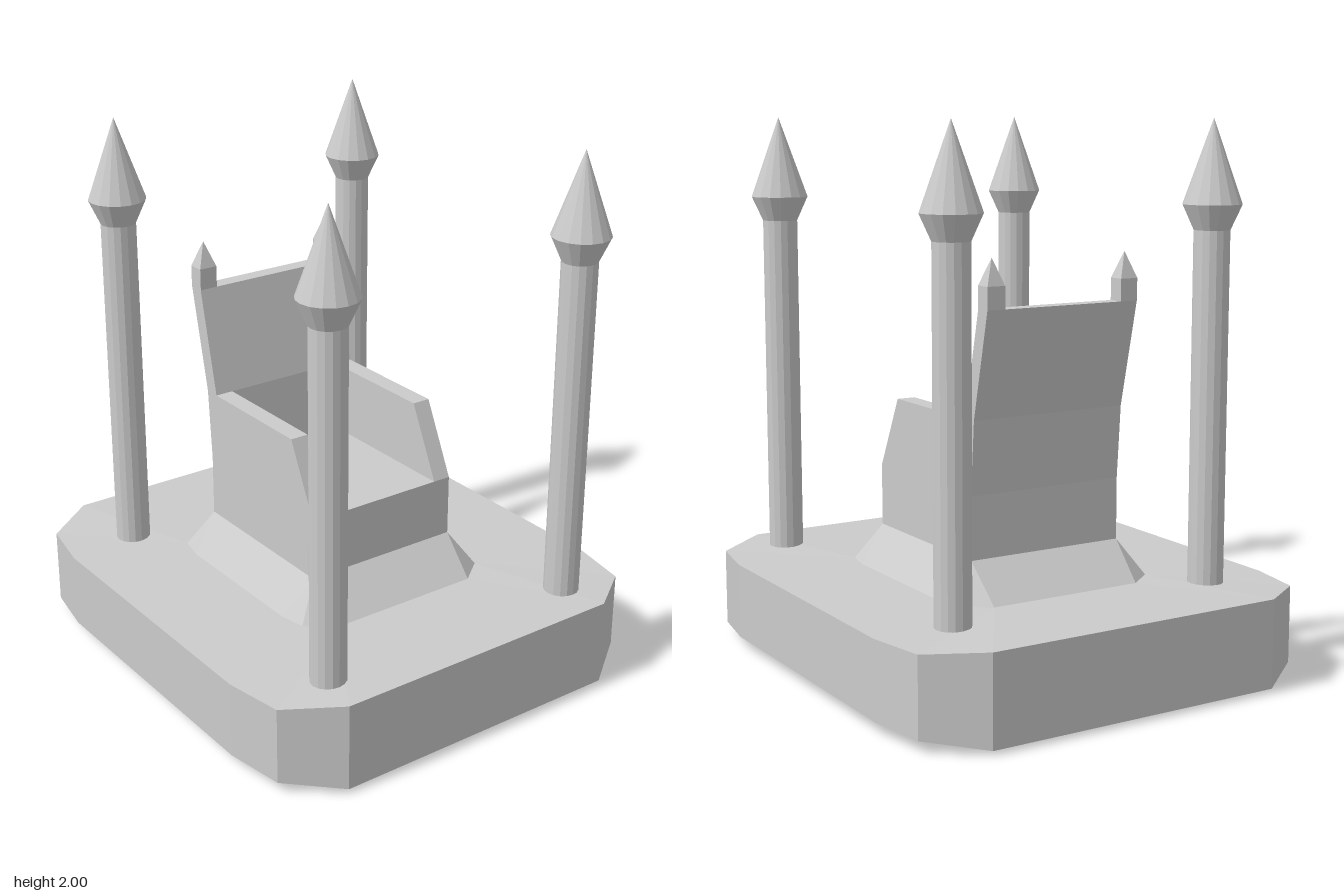
import * as THREE from 'three';

const material = new THREE.MeshStandardMaterial({ color: 0xcccccc, flatShading: true });

// Mirror three corner points [x, y, z] into a closed ring of twelve.
function ring(corner) {
  const back = [...corner].reverse();
  const flip = (points, sx, sz) => points.map(([x, y, z]) => [x * sx, y, z * sz]);
  return [...corner, ...flip(back, -1, 1), ...flip(corner, -1, -1), ...flip(back, 1, -1)];
}

// Join rings, listed from the bottom up, with flat faces.
function loft(corners) {
  const rings = corners.map(ring);
  const positions = [];
  for (let r = 0; r < rings.length - 1; r++) {
    const low = rings[r], high = rings[r + 1];
    for (let i = 0; i < 12; i++) {
      const j = (i + 1) % 12;
      positions.push(...low[i], ...high[i], ...low[j], ...low[j], ...high[i], ...high[j]);
    }
  }
  const geometry = new THREE.BufferGeometry();
  geometry.setAttribute('position', new THREE.Float32BufferAttribute(positions, 3));
  geometry.computeVertexNormals();
  return geometry;
}

// Extrude a [z, y] side profile across x, centred on x = 0.
function sideProfile(points, width) {
  const shape = new THREE.Shape(points.map(([z, y]) => new THREE.Vector2(z, y)));
  return new THREE.ExtrudeGeometry(shape, { depth: width, bevelEnabled: false })
    .translate(0, 0, -width / 2)
    .rotateY(-Math.PI / 2);
}

export function createModel() {
  const model = new THREE.Group();
  model.name = 'canopyThrone';

  function add(parent, name, geometry, x = 0, y = 0, z = 0) {
    const mesh = new THREE.Mesh(geometry, material);
    mesh.name = name;
    mesh.position.set(x, y, z);
    parent.add(mesh);
    return mesh;
  }

  // Platform with cut corners and a slightly bellied underside
  const foot = [[0.42, 0.335, 0.29], [0.4, 0.335, 0.39], [0.3, 0.335, 0.468]];
  add(model, 'platform', loft([
    [[0, 0, 0], [0, 0, 0], [0, 0, 0]],
    [[0.57, 0.005, 0.45], [0.56, 0.005, 0.55], [0.5, 0.005, 0.6]],
    [[0.81, 0.045, 0.55], [0.77, 0.042, 0.77], [0.575, 0.015, 0.908]],
    [[0.81, 0.328, 0.55], [0.77, 0.328, 0.77], [0.575, 0.34, 0.908]],
    foot,
  ]));

  // Pedestal flaring from the seat down to the platform
  const top = [0.31, 0.47, 0.33];
  add(model, 'pedestal', loft([foot, [top, top, top]]));

  // Seat: centre section with the backrest
  const seat = new THREE.Group();
  seat.name = 'seat';
  model.add(seat);
  const rear = [[-0.44, 1.36], [-0.35, 0.97], [-0.33, 0.7], [-0.33, 0.47]];
  add(seat, 'seatAndBackrest', sideProfile(
    [[0.33, 0.47], [0.33, 0.7], [-0.27, 0.7], [-0.29, 0.97], [-0.38, 1.36], ...rear], 0.48));

  // Armrest sides and the pointed finials above them
  const armProfile = [[0.33, 0.47], [0.33, 0.7], [0.2, 0.97], [-0.29, 0.97], [-0.38, 1.36], ...rear];
  for (const side of [1, -1]) {
    const label = side > 0 ? 'left' : 'right';
    add(seat, label + 'Armrest', sideProfile(armProfile, 0.07), side * 0.275);
    add(seat, label + 'FinialPost', new THREE.BoxGeometry(0.07, 0.08, 0.062), side * 0.275, 1.4, -0.41);
    const tip = new THREE.ConeGeometry(Math.SQRT1_2, 0.095, 4, 1, true)
      .rotateY(Math.PI / 4)
      .scale(0.07, 1, 0.062);
    add(seat, label + 'FinialTip', tip, side * 0.275, 1.4875, -0.41);
  }

  // Four corner pillars with spear-shaped caps
  const pillarProfile = [[0.065, 0.33], [0.065, 1.61], [0.106, 1.7], [0, 2]]
    .map(([r, y]) => new THREE.Vector2(r, y));
  const pillar = new THREE.LatheGeometry(pillarProfile, 16);
  for (const x of [0.53, -0.53]) {
    for (const z of [0.727, -0.58]) {
      add(model, (z > 0 ? 'front' : 'back') + (x > 0 ? 'Left' : 'Right') + 'Pillar', pillar, x, 0, z);
    }
  }

  return model;
}
